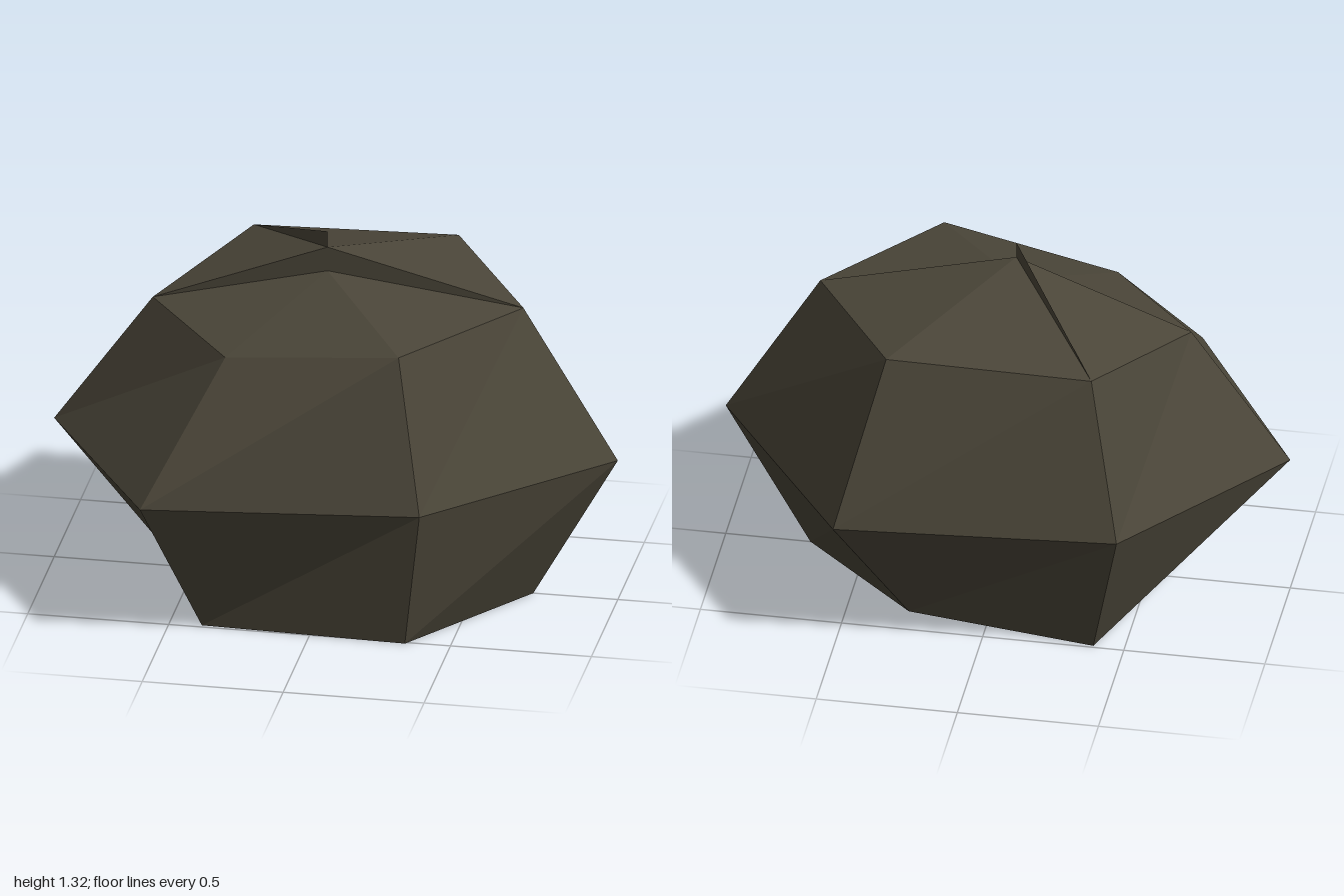
import * as THREE from 'three';

// Rings run left, front-left, front-right, right, back-right, back-left.
const lower = [[-0.61, 0.07, 0], [-0.385, 0, 0.485], [0.34, 0, 0.51], [0.7, 0, 0], [0.274, 0.03, -0.43], [-0.39, 0, -0.49]];
const middle = [[-1, 0], [-0.56, 0.725], [0.41, 0.61], [1, 0], [0.49, -0.725], [-0.5, -0.645]].map(([x, z]) => [x, 0.53, z]);
const upper = [[-0.65, 1.02, 0], [-0.32, 0.985, 0.39], [0.31, 1.07, 0.47], [0.665, 1.085, 0], [0.34, 1.115, -0.51], [-0.385, 1.1, -0.5]];

// The split peak: a low front half, a higher back half and a sharp fin.
const frontPeak = [-0.03, 1.17, 0];
const backPeak = [-0.03, 1.26, 0];
const finPeak = [-0.03, 1.32, 0];
const basePoint = [-0.03, 0, 0];

export function createModel() {
  const group = new THREE.Group();
  group.name = 'rock';
  const stone = new THREE.MeshStandardMaterial({ color: 0x4b4639 });
  stone.name = 'darkStone';
  stone.flatShading = true;
  stone.side = THREE.DoubleSide;

  const addPart = (name, triangles) => {
    const geometry = new THREE.BufferGeometry();
    geometry.setAttribute('position', new THREE.Float32BufferAttribute(triangles.flat(2), 3));
    geometry.computeVertexNormals();
    const mesh = new THREE.Mesh(geometry, stone);
    mesh.name = name;
    group.add(mesh);
  };

  // Faceted band between two rings
  const band = (low, high) => low.flatMap((p, i) => {
    const j = (i + 1) % low.length;
    return [[p, low[j], high[j]], [p, high[j], high[i]]];
  });

  addPart('lowerSides', band(lower, middle));
  addPart('upperSides', band(middle, upper));
  addPart('underside', lower.map((p, i) => [p, basePoint, lower[(i + 1) % 6]]));

  // Top facets, with the step between the two halves of the peak closed
  addPart('crown', [
    ...upper.map((p, i) => [p, upper[(i + 1) % 6], i < 3 ? frontPeak : backPeak]),
    [upper[0], frontPeak, backPeak],
    [frontPeak, upper[3], backPeak],
  ]);
  addPart('peakFin', [[backPeak, upper[5], finPeak]]);
  return group;
}
